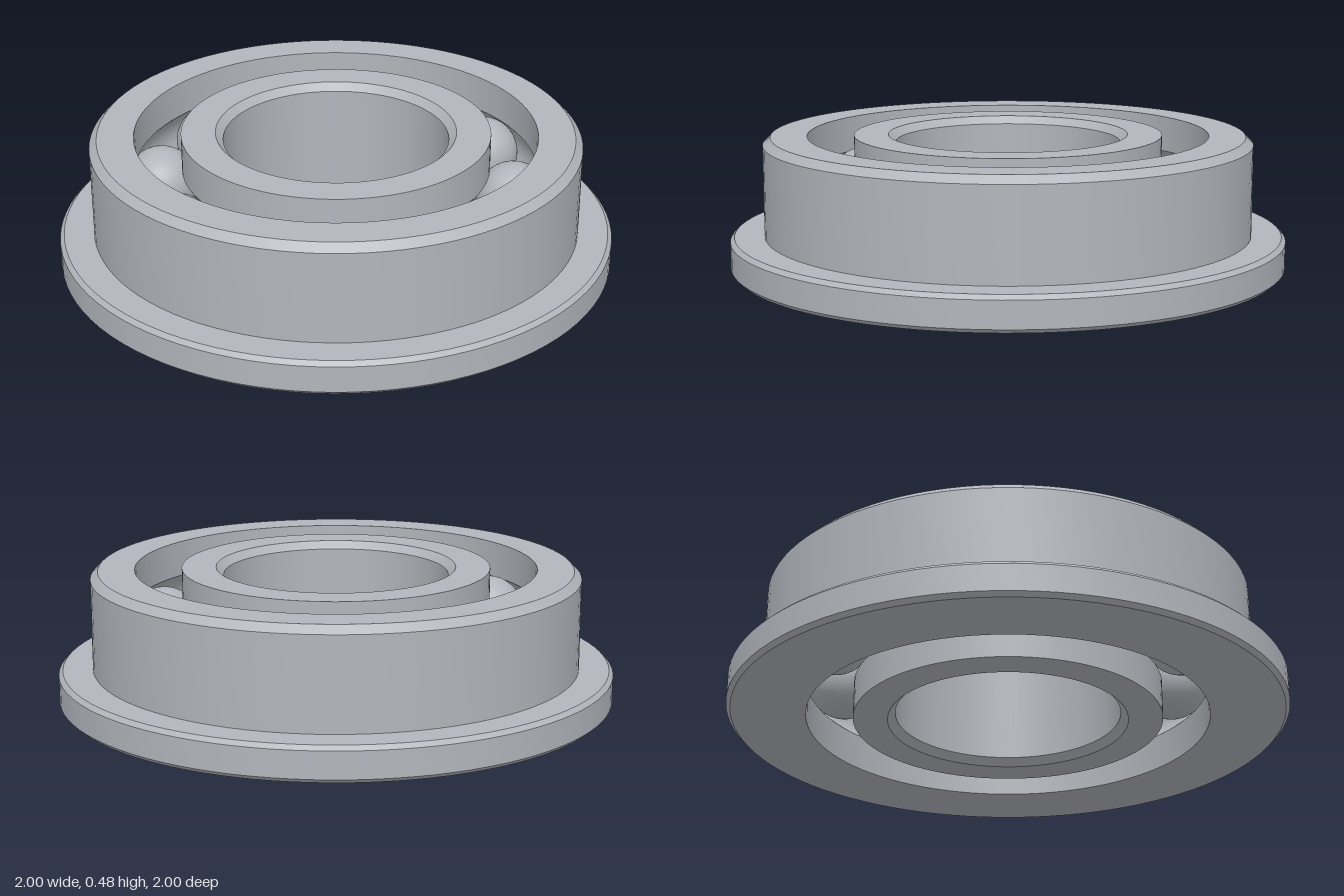
import * as THREE from 'three';
import { toCreasedNormals } from 'three/addons/utils/BufferGeometryUtils.js';

const HEIGHT = 0.48, MID = HEIGHT / 2;
const PITCH = 0.64, BALL = 0.133, BALL_COUNT = 10;
const GROOVE = 0.135;

// Raceway arc in the (radius, y) plane, meeting the wall at the given radius
function raceway(wall, steps = 12) {
  const outer = wall > PITCH;
  const half = Math.acos(Math.abs(wall - PITCH) / GROOVE);
  const middle = outer ? 0 : Math.PI;
  return Array.from({ length: steps + 1 }, (_, i) => {
    const a = middle + half - (2 * half * i) / steps;
    return [PITCH + GROOVE * Math.cos(a), MID + GROOVE * Math.sin(a)];
  });
}

// Closed, counter-clockwise profile turned into a ring with crisp chamfers
function ring(name, profile, material) {
  const points = [...profile, profile[0]].map(([r, y]) => new THREE.Vector2(r, y));
  const mesh = new THREE.Mesh(toCreasedNormals(new THREE.LatheGeometry(points, 96), 0.5), material);
  mesh.name = name;
  return mesh;
}

export function createModel() {
  const group = new THREE.Group();
  group.name = 'flangedBallBearing';
  const steel = new THREE.MeshStandardMaterial({ color: 0xb2b6bc });
  steel.name = 'steel';

  // Outer race with flange at the bottom
  group.add(ring('outerRing', [
    [0.72, 0], [0.985, 0], [1, 0.015], [1, 0.11], [0.985, 0.125],
    [0.878, 0.125], [0.878, 0.453], [0.851, HEIGHT], [0.72, HEIGHT],
    ...raceway(0.72),
  ], steel));

  // Inner race with chamfered bore
  group.add(ring('innerRing', [
    [0.43, 0], [0.553, 0],
    ...raceway(0.553).reverse().sort((a, b) => a[1] - b[1]),
    [0.553, HEIGHT], [0.43, HEIGHT], [0.403, HEIGHT - 0.027], [0.403, 0.027],
  ], steel));

  // Balls spaced evenly between the races
  const balls = new THREE.Group();
  balls.name = 'balls';
  const ballGeometry = new THREE.SphereGeometry(BALL, 40, 24);
  for (let i = 0; i < BALL_COUNT; i++) {
    const a = (i / BALL_COUNT) * Math.PI * 2;
    const ball = new THREE.Mesh(ballGeometry, steel);
    ball.name = `ball${i + 1}`;
    ball.position.set(PITCH * Math.cos(a), MID, PITCH * Math.sin(a));
    balls.add(ball);
  }
  group.add(balls);
  return group;
}
